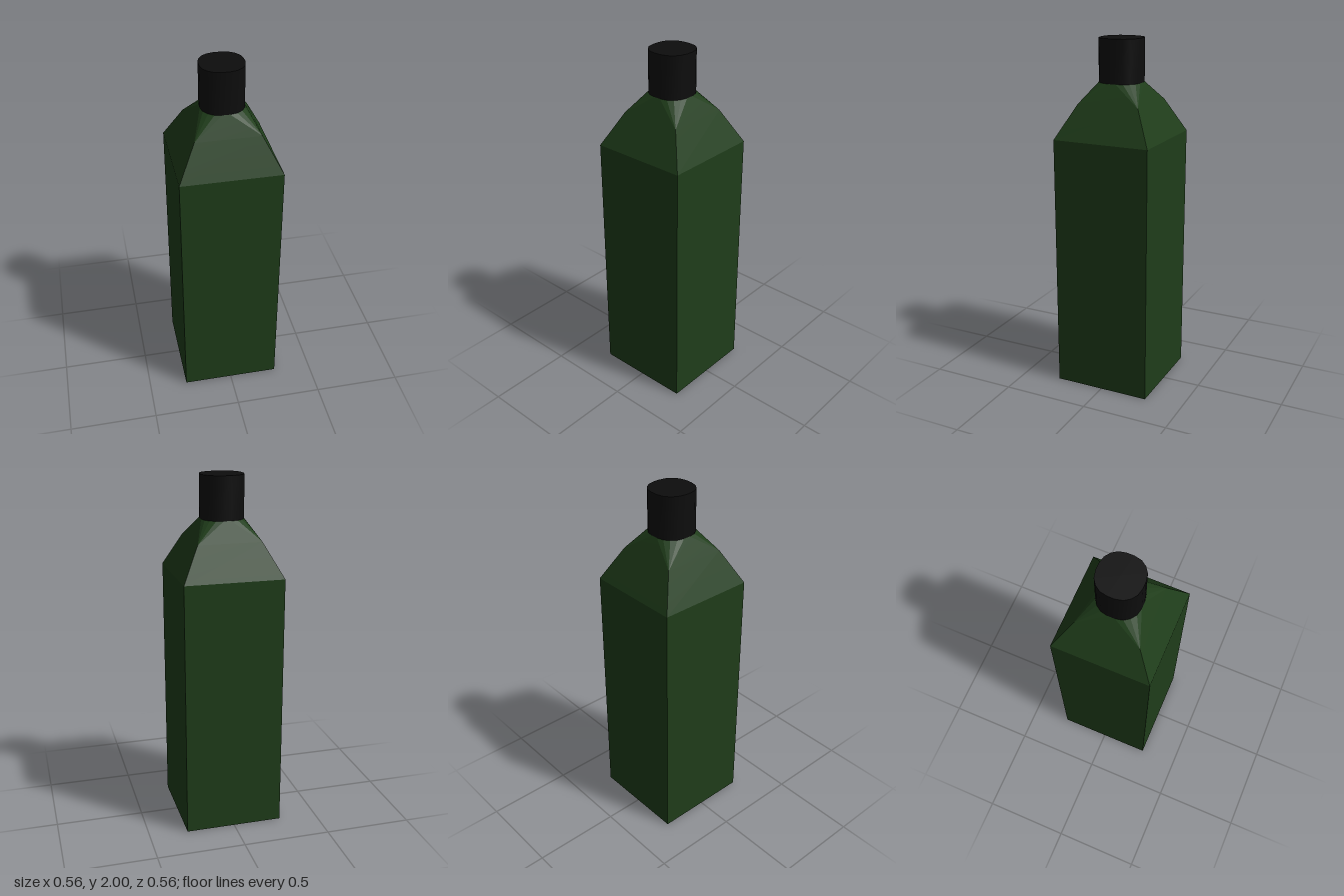
import * as THREE from 'three';
import { toCreasedNormals } from 'three/addons/utils/BufferGeometryUtils.js';

// One rounded corner of the neck; every ring has five points per quadrant
const CORNER = [[0.12, 0.02], [0.111, 0.06], [0.09, 0.09], [0.06, 0.111], [0.02, 0.12]];

// Repeat a quadrant's points four times around the y axis
function ring(y, quadrant) {
  const points = [];
  for (let q = 0; q < 4; q++) {
    for (let [x, z] of quadrant) {
      for (let k = 0; k < q; k++) [x, z] = [-z, x];
      points.push(new THREE.Vector3(x, y, z));
    }
  }
  return points;
}

const squareRing = (y, half) => ring(y, CORNER.map(() => [half, half]));
const neckRing = (y) => ring(y, CORNER);

// Skin a stack of rings and close both ends
function loft(rings, crease) {
  const positions = [];
  const triangle = (a, b, c) => {
    if (new THREE.Triangle(a, b, c).getArea() < 1e-7) return;
    for (const p of [a, b, c]) positions.push(p.x, p.y, p.z);
  };
  const n = rings[0].length;
  const first = rings[0];
  const last = rings[rings.length - 1];
  const bottom = new THREE.Vector3(0, first[0].y, 0);
  const top = new THREE.Vector3(0, last[0].y, 0);
  for (let i = 0; i < n; i++) {
    const j = (i + 1) % n;
    for (let r = 0; r < rings.length - 1; r++) {
      const a = rings[r];
      const b = rings[r + 1];
      triangle(a[j], a[i], b[i]);
      triangle(a[j], b[i], b[j]);
    }
    triangle(bottom, first[i], first[j]);
    triangle(top, last[j], last[i]);
  }
  const geometry = new THREE.BufferGeometry();
  geometry.setAttribute('position', new THREE.Float32BufferAttribute(positions, 3));
  return toCreasedNormals(geometry, crease);
}

function part(name, geometry, color) {
  const mesh = new THREE.Mesh(geometry, new THREE.MeshStandardMaterial({ color }));
  mesh.name = name;
  return mesh;
}

export function createModel() {
  const group = new THREE.Group();
  group.name = 'squareBottle';

  // Square body, tapering shoulders that blend into the round neck
  const body = loft([
    squareRing(0, 0.28),
    squareRing(1.46, 0.28),
    squareRing(1.65, 0.18),
    neckRing(1.76),
  ], 0.2);
  group.add(part('bottleBody', body, 0x1f3d1a));

  // Screw cap
  group.add(part('cap', loft([neckRing(1.76), neckRing(2)], 0.6), 0x0d0d0d));

  return group;
}
